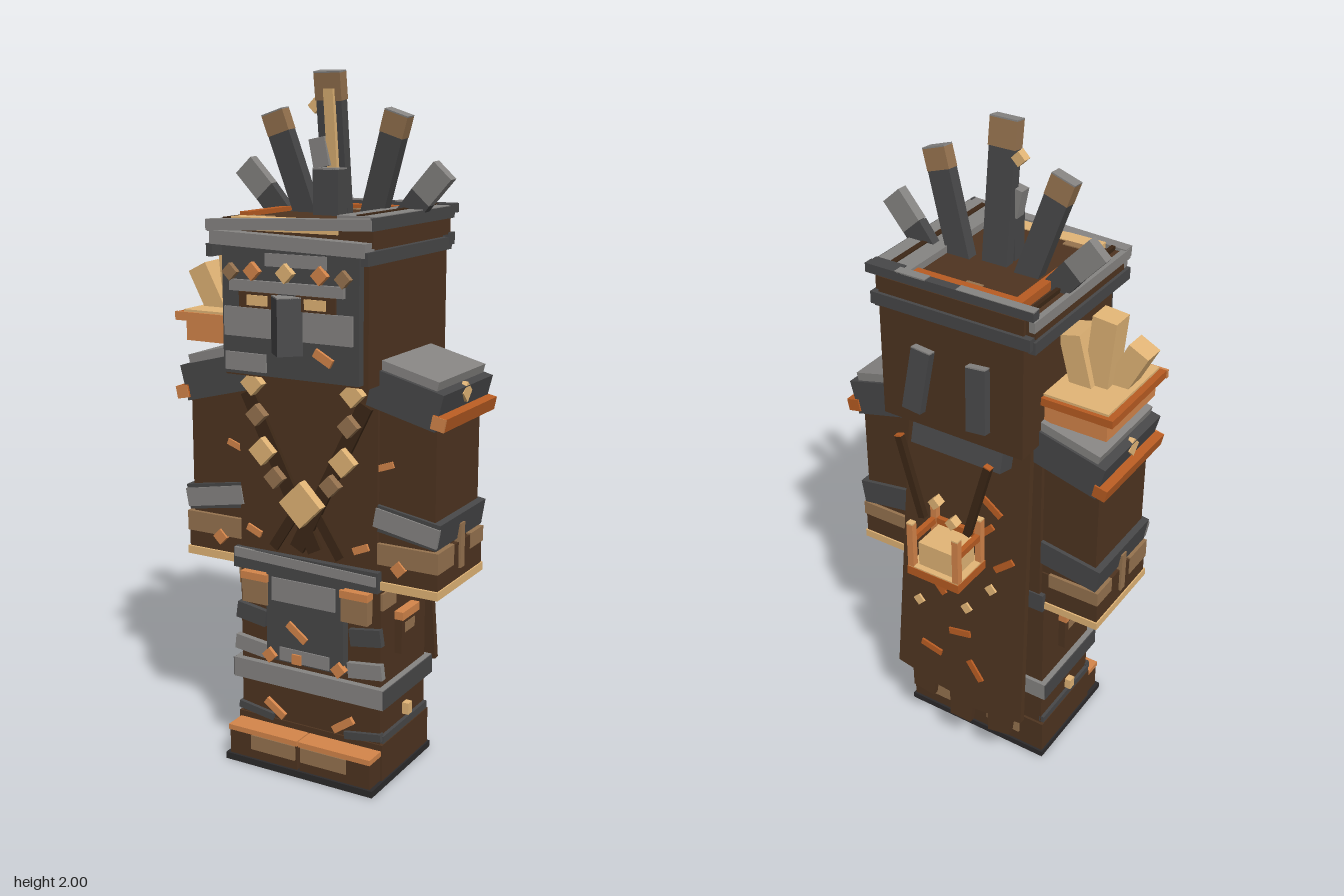
import * as THREE from 'three';

const COLORS = {
  brown: 0x4e3420, darkBrown: 0x3c2716, rust: 0xb85c22, copper: 0xd4854a, cream: 0xe2b576,
  tan: 0x96734f, grey: 0x868482, charcoal: 0x474748, soleBlack: 0x2c2a2b,
};
const M = {};
const CX = 0.008; // mirror line of the figure

// Box given by its limits on each axis
function box(parent, name, mat, x0, x1, y0, y1, z0, z1, rz = 0, rx = 0) {
  const m = new THREE.Mesh(new THREE.BoxGeometry(x1 - x0, y1 - y0, z1 - z0), M[mat]);
  m.position.set((x0 + x1) / 2, (y0 + y1) / 2, (z0 + z1) / 2);
  m.rotation.set(rx, 0, rz);
  m.name = name;
  parent.add(m);
  return m;
}
// Box centred on a point
function block(parent, name, mat, x, y, z, w, h, d, rz = 0, rx = 0) {
  return box(parent, name, mat, x - w / 2, x + w / 2, y - h / 2, y + h / 2, z - d / 2, z + d / 2, rz, rx);
}
// Square rod running from a to b, with an optional thin cap on its end
function bar(parent, name, mat, a, b, w, d, cap) {
  const A = new THREE.Vector3(...a), B = new THREE.Vector3(...b), dir = B.clone().sub(A);
  const len = dir.length();
  const m = new THREE.Mesh(new THREE.BoxGeometry(w, len, d), M[mat]);
  m.position.copy(A).add(B).multiplyScalar(0.5);
  m.quaternion.setFromUnitVectors(new THREE.Vector3(0, 1, 0), dir.normalize());
  m.name = name;
  parent.add(m);
  if (cap) block(m, name + 'Cap', cap, 0, len / 2 + 0.002, 0, w, 0.004, d);
}
function group(parent, name) {
  const g = new THREE.Group();
  g.name = name;
  parent.add(g);
  return g;
}

function buildLegs(root) {
  const g = group(root, 'legs');
  box(g, 'sole', 'soleBlack', -0.24, 0.255, 0, 0.02, -0.125, 0.245);
  box(g, 'legBlock', 'brown', -0.225, 0.24, 0.02, 0.62, -0.11, 0.17);
  box(g, 'heelWrap', 'brown', -0.235, 0.25, 0.02, 0.13, -0.118, 0.175);
  box(g, 'shinBand', 'grey', -0.242, 0.258, 0.245, 0.305, -0.122, 0.19);
  for (const s of [-1, 1]) {
    block(g, 'shinBandSide', 'charcoal', CX + s * 0.249, 0.275, 0.034, 0.008, 0.056, 0.31);
    block(g, 'foot', 'brown', CX + s * 0.12, 0.065, 0.2, 0.232, 0.09, 0.075);
    block(g, 'footTrim', 'copper', CX + s * 0.12, 0.104, 0.2, 0.236, 0.016, 0.085);
    block(g, 'toePatch', 'tan', CX + s * 0.085, 0.072, 0.239, 0.15, 0.045, 0.008);
    block(g, 'ankleStrap', 'charcoal', CX + s * 0.18, 0.145, 0.172, 0.12, 0.022, 0.02, s * 0.15);
    block(g, 'ankleStrapSide', 'charcoal', CX + s * 0.235, 0.145, 0.03, 0.016, 0.022, 0.28);
    block(g, 'shinMark', 'copper', CX + s * 0.115, 0.165, 0.176, 0.075, 0.022, 0.012, s * 0.6);
    block(g, 'shinStud', 'cream', CX + s * 0.25, 0.195, 0.035, 0.02, 0.035, 0.025);
    block(g, 'heelPatch', 'tan', CX + s * 0.1, 0.085, -0.12, 0.12, 0.05, 0.008);
    // thigh panels
    block(g, 'hipTassel', 'tan', CX + s * 0.165, 0.54, 0.19, 0.085, 0.09, 0.03);
    block(g, 'tasselTop', 'copper', CX + s * 0.165, 0.578, 0.193, 0.09, 0.022, 0.034);
    block(g, 'thighStrap', 'charcoal', CX + s * 0.19, 0.45, 0.176, 0.1, 0.05, 0.02, s * 0.15);
    block(g, 'kneeStrap', 'grey', CX + s * 0.19, 0.35, 0.178, 0.11, 0.045, 0.02, s * 0.12);
    block(g, 'kneeStud', 'copper', CX + s * 0.115, 0.345, 0.2, 0.034, 0.034, 0.02, Math.PI / 4);
    block(g, 'sidePouch', 'brown', CX + s * 0.24, 0.44, 0.035, 0.03, 0.12, 0.1);
    block(g, 'pouchFlap', 'copper', CX + s * 0.245, 0.495, 0.035, 0.03, 0.024, 0.105);
    block(g, 'pouchPatch', 'tan', CX + s * 0.252, 0.455, 0.035, 0.008, 0.03, 0.06);
    block(g, 'sideHipPatch', 'tan', CX + s * 0.235, 0.56, 0.13, 0.008, 0.05, 0.08);
  }
  // apron
  box(g, 'apron', 'charcoal', -0.12, 0.135, 0.33, 0.62, 0.17, 0.198);
  box(g, 'apronPatch', 'grey', -0.1, 0.11, 0.515, 0.585, 0.194, 0.202);
  box(g, 'apronHem', 'grey', -0.075, 0.09, 0.335, 0.375, 0.194, 0.202);
  block(g, 'apronMark', 'copper', -0.015, 0.43, 0.203, 0.075, 0.022, 0.008, -0.65);
  block(g, 'apronStud', 'copper', -0.015, 0.348, 0.203, 0.03, 0.03, 0.01);
}

function buildTorso(root) {
  const g = group(root, 'torso');
  box(g, 'chest', 'brown', -0.215, 0.232, 0.6, 1.2, -0.12, 0.18);
  box(g, 'belt', 'charcoal', -0.23, 0.245, 0.595, 0.655, -0.125, 0.2);
  box(g, 'beltTrim', 'grey', -0.225, 0.24, 0.622, 0.65, 0.196, 0.205, -0.03);
  for (const s of [-1, 1]) {
    bar(g, 'chestStrap', 'darkBrown', [CX + s * 0.19, 1.12, 0.185], [CX - s * 0.03, 0.68, 0.185], 0.045, 0.014);
    bar(g, 'lowerStrap', 'darkBrown', [CX, 0.84, 0.182], [CX + s * 0.11, 0.67, 0.182], 0.03, 0.012);
    // diamond beads along the straps
    for (const [x, y, size, mat] of [[0.16, 1.15, 0.05, 'cream'], [0.148, 1.06, 0.045, 'tan'],
      [0.13, 0.957, 0.058, 'cream'], [0.09, 0.885, 0.045, 'tan']])
      block(g, 'bead', mat, CX + s * x, y, 0.203, size, size, 0.026, Math.PI / 4);
  }
  block(g, 'largeBead', 'cream', CX, 0.82, 0.207, 0.095, 0.095, 0.032, Math.PI / 4);
}

function buildArm(root, s) {
  const g = group(root, s > 0 ? 'leftArm' : 'rightArm');
  // limits are measured outward from the mirror line
  const part = (name, mat, a, b, y0, y1, z0, z1, tilt = 0) =>
    box(g, name, mat, CX + Math.min(s * a, s * b), CX + Math.max(s * a, s * b), y0, y1, z0, z1, s * tilt);
  part('sleeve', 'brown', 0.215, 0.395, 0.62, 1.15, -0.105, 0.17);
  part('cuff', 'brown', 0.225, 0.408, 0.625, 0.73, -0.11, 0.178);
  part('cuffPatch', 'tan', 0.225, 0.411, 0.675, 0.735, 0.08, 0.183);
  part('cuffPatchBack', 'tan', 0.25, 0.411, 0.69, 0.735, -0.115, -0.03);
  part('hand', 'cream', 0.22, 0.412, 0.602, 0.626, -0.115, 0.185);
  part('armBand', 'charcoal', 0.215, 0.41, 0.755, 0.83, -0.117, 0.18, -0.16);
  part('armBandTrim', 'grey', 0.215, 0.412, 0.765, 0.82, 0.176, 0.185, -0.18);
  part('armBandLoop', 'tan', 0.39, 0.415, 0.655, 0.785, 0.02, 0.045);
  part('sleeveMark', 'copper', 0.22, 0.27, 0.945, 0.963, 0.166, 0.176, 0.35);
  part('cuffMark', 'copper', 0.15, 0.2, 0.7, 0.72, 0.178, 0.188, 0.4);
  block(g, 'cuffStud', 'copper', CX + s * 0.293, 0.672, 0.184, 0.034, 0.034, 0.012, Math.PI / 4);
  // shoulder plates
  part('shoulderPlate', 'charcoal', 0.2, 0.412, 1.095, 1.2, -0.13, 0.188, -0.25);
  part('shoulderTop', 'grey', 0.205, 0.4, 1.19, 1.228, -0.122, 0.175, -0.25);
  part('shoulderTrim', 'rust', 0.39, 0.43, 1.078, 1.115, -0.135, 0.195, -0.2);
  part('shoulderTrimFront', 'copper', 0.39, 0.43, 1.078, 1.115, 0.19, 0.197, -0.2);
  block(g, 'shoulderStud', 'cream', CX + s * 0.413, 1.155, 0.035, 0.016, 0.04, 0.04, 0, Math.PI / 4);
}

function buildHead(root) {
  const g = group(root, 'head');
  box(g, 'skull', 'brown', -0.21, 0.24, 1.18, 1.6, -0.215, 0.25);
  box(g, 'mask', 'charcoal', -0.2, 0.225, 1.19, 1.54, 0.24, 0.275);
  box(g, 'brow', 'grey', -0.17, 0.185, 1.42, 1.45, 0.27, 0.288);
  box(g, 'foreheadPlate', 'grey', -0.06, 0.13, 1.49, 1.525, 0.27, 0.279);
  box(g, 'chinPlate', 'grey', -0.19, -0.06, 1.2, 1.25, 0.27, 0.282);
  for (const s of [-1, 1]) {
    block(g, 'cheek', 'grey', CX + s * 0.125, 1.335, 0.277, 0.15, 0.08, 0.01);
    block(g, 'eyeSocket', 'brown', CX + s * 0.09, 1.397, 0.278, 0.12, 0.042, 0.01);
    block(g, 'eye', 'cream', CX + s * 0.09, 1.397, 0.284, 0.064, 0.028, 0.008);
    block(g, 'browStud', 'copper', CX + s * 0.105, 1.475, 0.283, 0.036, 0.036, 0.018, Math.PI / 4);
    block(g, 'templeStud', 'tan', CX + s * 0.175, 1.47, 0.283, 0.034, 0.034, 0.018, Math.PI / 4);
    const plate = block(g, 'backPlate', 'charcoal', CX + s * 0.095, 1.34, -0.24, 0.06, 0.18, 0.026, s * 0.1, 0.15);
    block(plate, 'backPlateCap', 'grey', 0, 0.091, 0, 0.06, 0.004, 0.026);
  }
  block(g, 'foreheadStud', 'cream', CX, 1.475, 0.285, 0.038, 0.038, 0.02, Math.PI / 4);
  block(g, 'cheekMark', 'copper', 0.12, 1.257, 0.28, 0.06, 0.024, 0.01, -0.5);
  const nose = block(g, 'nose', 'charcoal', CX, 1.335, 0.28, 0.07, 0.155, 0.07);
  nose.rotation.y = Math.PI / 4;
  block(nose, 'noseCap', 'grey', 0, 0.078, 0, 0.07, 0.004, 0.07);
  const nape = box(g, 'napeGuard', 'charcoal', -0.14, 0.155, 1.1, 1.185, -0.205, -0.145, 0, 0.25);
  block(nape, 'napeTop', 'grey', 0, 0.044, 0, 0.29, 0.004, 0.058);

  // crown rim
  box(g, 'rimLowerFront', 'grey', -0.23, 0.25, 1.535, 1.572, 0.24, 0.292, -0.03);
  box(g, 'rimLowerBack', 'charcoal', -0.235, 0.26, 1.52, 1.555, -0.225, -0.19);
  box(g, 'rimFront', 'grey', -0.243, 0.268, 1.588, 1.618, 0.255, 0.29, 0.04);
  box(g, 'rimBack', 'charcoal', -0.245, 0.27, 1.61, 1.636, -0.228, -0.2);
  box(g, 'rimBackTop', 'grey', -0.245, -0.015, 1.634, 1.638, -0.228, -0.2);
  box(g, 'rimBackTop', 'grey', 0.08, 0.175, 1.634, 1.638, -0.228, -0.2);
  box(g, 'rimLeft', 'grey', 0.15, 0.266, 1.597, 1.632, -0.2, 0.26);
  box(g, 'rimLeftCorner', 'charcoal', 0.17, 0.268, 1.63, 1.635, -0.2, -0.18);
  box(g, 'rimLeftEdge', 'charcoal', 0.264, 0.27, 1.597, 1.63, -0.2, 0.288);
  box(g, 'rimRight', 'grey', -0.245, -0.228, 1.575, 1.605, -0.22, 0.28);
  for (const s of [-1, 1]) {
    block(g, 'rimLowerSide', 'charcoal', CX + s * 0.24, 1.525, 0.04, 0.02, 0.035, 0.5);
    block(g, 'rimSideBoard', 'brown', CX + s * 0.225, 1.575, 0.025, 0.045, 0.05, 0.46);
  }
  box(g, 'rimGroove', 'darkBrown', 0.205, 0.222, 1.6, 1.635, -0.2, 0.255);
  box(g, 'rimGroove', 'darkBrown', -0.21, -0.198, 1.59, 1.612, -0.2, 0.255);
  box(g, 'crownRight', 'rust', -0.182, -0.155, 1.58, 1.625, -0.2, 0.21);
  box(g, 'crownBack', 'rust', -0.182, 0.15, 1.58, 1.625, -0.2, -0.158);
  box(g, 'crownFront', 'cream', -0.18, 0.15, 1.58, 1.615, 0.21, 0.257);
  box(g, 'crownTop', 'brown', -0.156, 0.15, 1.57, 1.612, -0.158, 0.21);
  box(g, 'crownPatch', 'tan', -0.155, -0.085, 1.61, 1.615, 0.185, 0.21);
  box(g, 'crownPatch', 'tan', -0.038, 0.012, 1.61, 1.615, -0.158, -0.132);

  // feather crest
  for (const s of [-1, 1]) {
    bar(g, 'outerFeather', 'charcoal', [CX + s * 0.18, 1.58, -0.025], [CX + s * 0.25, 1.665, -0.02], 0.07, 0.03);
    bar(g, 'outerFeatherTip', 'grey', [CX + s * 0.25, 1.665, -0.02], [CX + s * 0.317, 1.738, -0.015], 0.07, 0.032);
    bar(g, 'innerFeather', 'charcoal', [CX + s * 0.1, 1.59, -0.01], [CX + s * 0.177, 1.83, 0.013], 0.07, 0.036);
    bar(g, 'innerFeatherTip', 'tan', [CX + s * 0.177, 1.83, 0.013], [CX + s * 0.195, 1.886, 0.018], 0.072, 0.038, 'grey');
  }
  bar(g, 'midFeather', 'charcoal', [CX, 1.58, 0], [CX, 1.94, 0.042], 0.078, 0.032);
  bar(g, 'midFeatherTip', 'tan', [CX, 1.92, 0.04], [CX, 1.993, 0.05], 0.082, 0.036, 'grey');
  bar(g, 'featherQuill', 'cream', [CX + 0.006, 1.62, 0.028], [CX + 0.006, 1.95, 0.064], 0.03, 0.016);
  box(g, 'crestBase', 'charcoal', -0.03, 0.05, 1.6, 1.736, 0.03, 0.078);
  box(g, 'crestBaseTop', 'grey', -0.03, 0.05, 1.735, 1.74, 0.03, 0.078);
  block(g, 'crestBlock', 'grey', -0.02, 1.78, 0.045, 0.05, 0.08, 0.035, 0.2);
  block(g, 'crestStud', 'cream', -0.045, 1.905, 0.03, 0.03, 0.03, 0.025, Math.PI / 4);
}

function buildBasket(root) {
  const g = group(root, 'shoulderBasket');
  box(g, 'post', 'darkBrown', -0.32, -0.28, 1.2, 1.26, 0.01, 0.06);
  box(g, 'basket', 'copper', -0.4, -0.2, 1.245, 1.31, -0.105, 0.17);
  box(g, 'basketRim', 'rust', -0.425, -0.2, 1.305, 1.328, -0.125, 0.18);
  box(g, 'basketRimFront', 'copper', -0.428, -0.2, 1.304, 1.329, 0.178, 0.186);
  box(g, 'filling', 'cream', -0.405, -0.205, 1.32, 1.335, -0.112, 0.175);
  bar(g, 'stick', 'cream', [-0.345, 1.32, 0.06], [-0.41, 1.45, 0.065], 0.065, 0.07);
  bar(g, 'stick', 'cream', [-0.305, 1.32, 0.03], [-0.325, 1.537, 0.03], 0.072, 0.07);
  bar(g, 'stick', 'cream', [-0.275, 1.32, 0.02], [-0.235, 1.48, 0.015], 0.065, 0.09);
}

function buildCape(root) {
  const g = group(root, 'cape');
  g.position.set(CX, 1.18, -0.122);
  g.rotation.x = 0.085;
  // cloth with a ragged hem
  const pts = [[-0.2, 0], [0.2, 0], [0.225, -0.93], [0.17, -0.94], [0.165, -1.0], [0.09, -1.01], [0.085, -0.96],
    [0.03, -0.965], [0.025, -1.05], [-0.05, -1.05], [-0.055, -0.99], [-0.11, -0.985], [-0.115, -1.045],
    [-0.19, -1.03], [-0.195, -0.97], [-0.228, -0.965]];
  const shape = new THREE.Shape(pts.map((p) => new THREE.Vector2(...p)));
  const cloth = new THREE.Mesh(new THREE.ExtrudeGeometry(shape, { depth: 0.02, bevelEnabled: false }), M.brown);
  cloth.position.z = -0.02;
  cloth.name = 'cloth';
  g.add(cloth);
  // painted marks on the back
  for (const [x, y, r] of [[-0.09, -0.24, 0.6], [-0.07, -0.33, -0.8], [-0.14, -0.42, -0.7], [0.04, -0.56, -0.7],
    [0.085, -0.575, 0.8], [0.1, -0.82, 0.2], [-0.06, -0.84, 0.9], [0, -0.72, -0.2]])
    block(g, 'capeMark', 'rust', x, y, -0.023, 0.075, 0.02, 0.008, r);
  for (const [x, y] of [[0.15, -0.66], [-0.1, -0.52], [-0.02, -0.62]])
    block(g, 'capeStud', 'cream', x, y, -0.023, 0.028, 0.028, 0.008, Math.PI / 4);
}

function buildLantern(root) {
  const g = group(root, 'backLantern');
  box(g, 'lanternBase', 'rust', -0.075, 0.1, 0.74, 0.768, -0.33, -0.19);
  box(g, 'lanternFloor', 'cream', -0.073, 0.098, 0.766, 0.772, -0.328, -0.192);
  box(g, 'lanternLight', 'cream', -0.05, 0.072, 0.77, 0.85, -0.31, -0.21);
  for (const s of [-1, 1]) {
    for (const z of [-0.318, -0.202]) {
      block(g, 'lanternPost', 'copper', 0.0125 + s * 0.076, 0.843, z, 0.02, 0.146, 0.02);
      block(g, 'lanternPostCap', 'cream', 0.0125 + s * 0.076, 0.918, z, 0.02, 0.005, 0.02);
    }
    block(g, 'lanternRail', 'rust', 0.0125 + s * 0.076, 0.86, -0.26, 0.016, 0.02, 0.12);
    bar(g, 'lanternStrap', 'darkBrown', [CX + s * 0.075, 0.91, -0.268], [CX + s * 0.145, 1.16, -0.268], 0.022, 0.018, 'rust');
    block(g, 'lanternBead', 'cream', CX + s * 0.028, 0.955 + s * 0.025, -0.268, 0.028, 0.028, 0.028, Math.PI / 4);
  }
  box(g, 'lanternRail', 'rust', -0.07, 0.095, 0.85, 0.87, -0.21, -0.195);
}

export function createModel() {
  for (const [name, color] of Object.entries(COLORS)) {
    M[name] = new THREE.MeshStandardMaterial({ color });
    M[name].name = name;
  }
  const root = new THREE.Group();
  root.name = 'totemFigure';
  buildLegs(root);
  buildTorso(root);
  for (const s of [-1, 1]) buildArm(root, s);
  buildHead(root);
  buildBasket(root);
  buildCape(root);
  buildLantern(root);
  return root;
}
